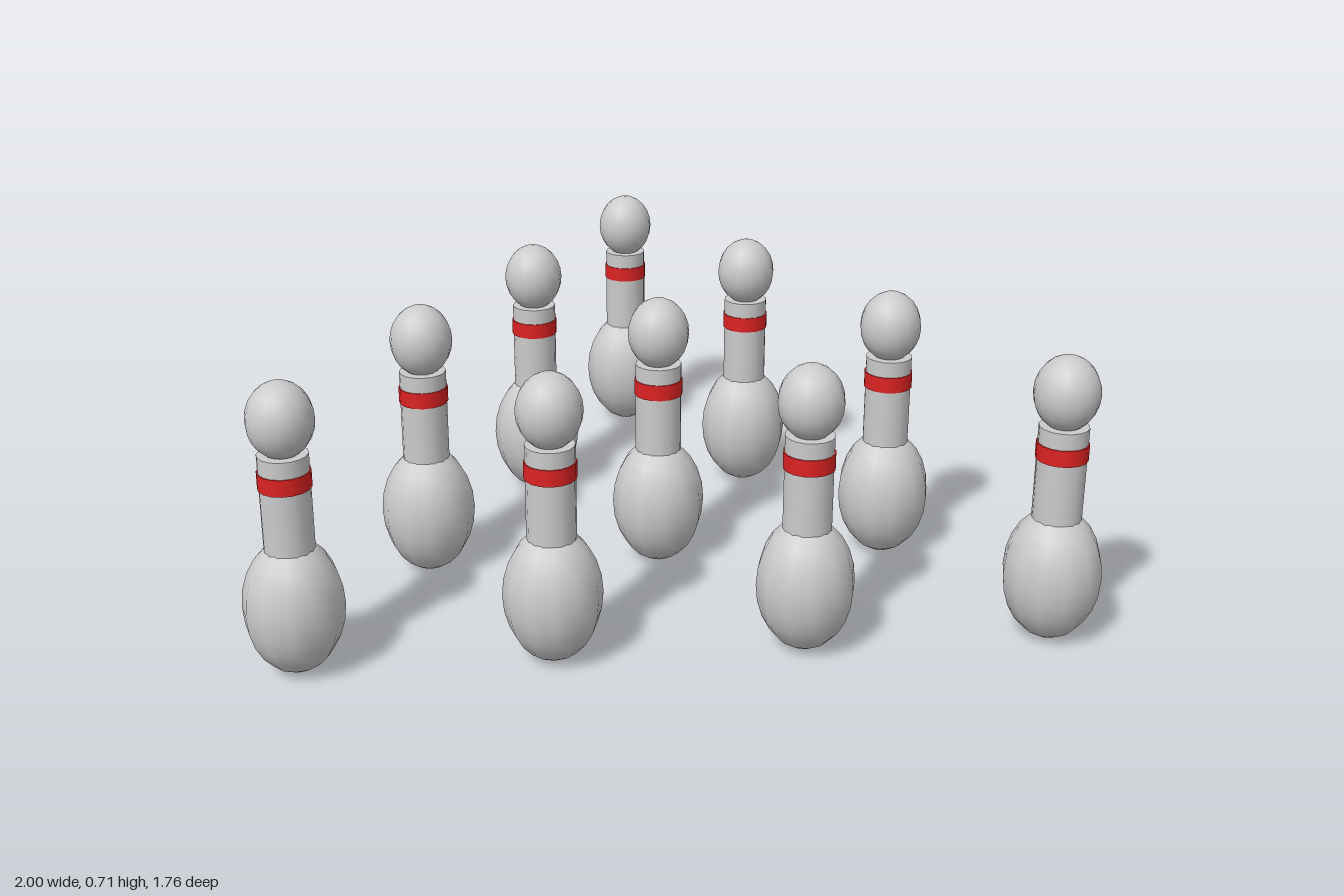
import * as THREE from 'three';

const grey = new THREE.MeshStandardMaterial({ color: 0xcccccc });
const red = new THREE.MeshStandardMaterial({ color: 0xdd2222 });

// Egg-shaped ball: a sphere stretched along y
const bodyGeometry = new THREE.SphereGeometry(0.117, 12, 12).scale(1, 0.165 / 0.117, 1);
const headGeometry = new THREE.SphereGeometry(0.077, 16, 12).scale(1, 0.09 / 0.077, 1);
const neckGeometry = new THREE.CylinderGeometry(0.058, 0.058, 0.29, 16);
const stripeGeometry = new THREE.CylinderGeometry(0.061, 0.061, 0.04, 16);

function addPart(parent, name, geometry, material, y) {
  const mesh = new THREE.Mesh(geometry, material);
  mesh.name = name;
  mesh.position.y = y;
  parent.add(mesh);
}

function createPin() {
  const pin = new THREE.Group();
  pin.name = 'pin';
  addPart(pin, 'body', bodyGeometry, grey, 0.168);
  addPart(pin, 'neck', neckGeometry, grey, 0.395);
  addPart(pin, 'stripe', stripeGeometry, red, 0.48);
  addPart(pin, 'head', headGeometry, grey, 0.62);
  return pin;
}

export function createModel() {
  const model = new THREE.Group();
  model.name = 'bowlingPins';
  // Triangle of four rows, the single pin at the back
  for (let row = 0; row < 4; row++) {
    for (let i = 0; i <= row; i++) {
      const pin = createPin();
      pin.position.set((i - row / 2) * 0.589, 0, (row - 1.5) * 0.51);
      model.add(pin);
    }
  }
  return model;
}
